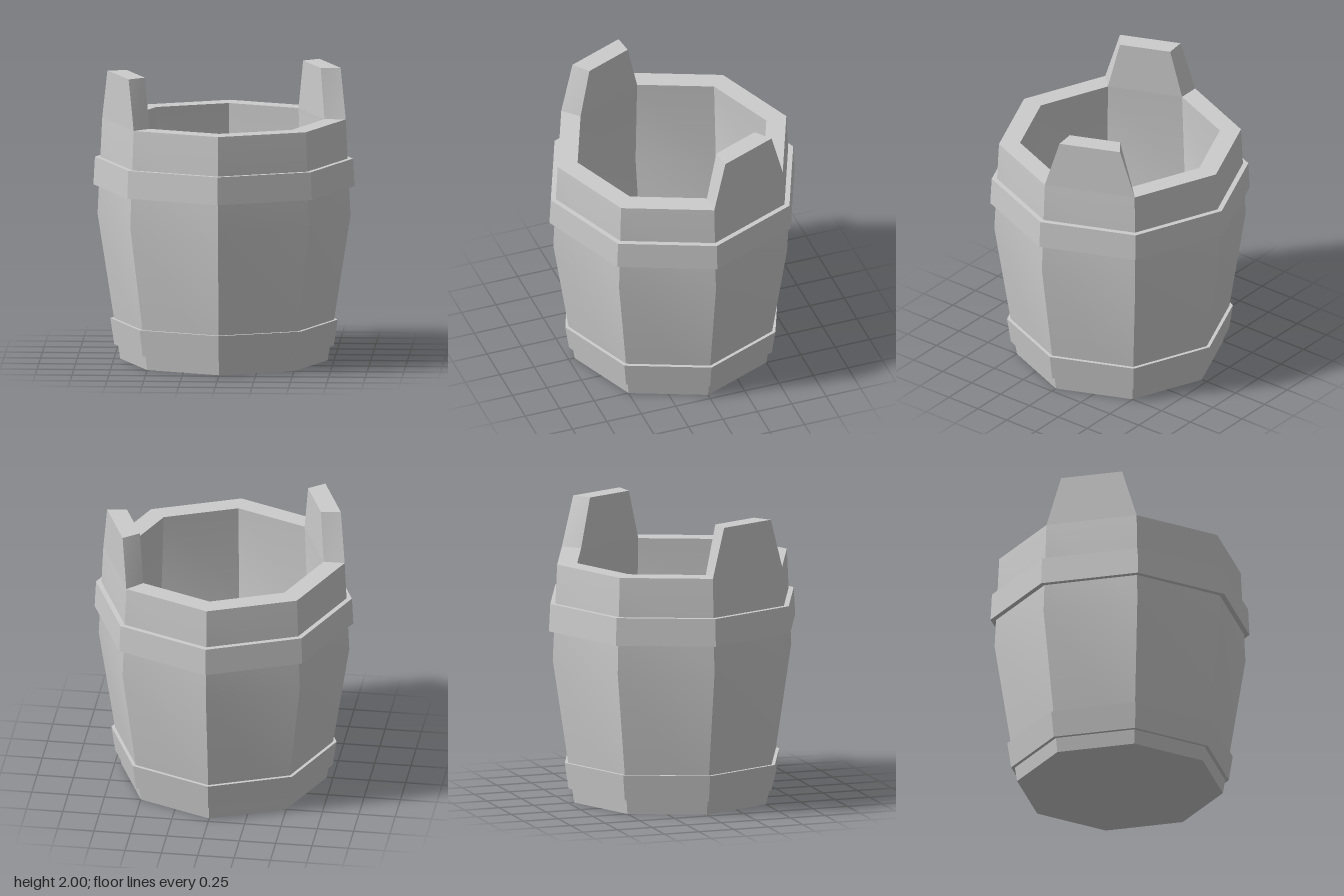
import * as THREE from 'three';
import { toCreasedNormals } from 'three/addons/utils/BufferGeometryUtils.js';

const SIDES = 8;
const TOP = 1.66;
const material = new THREE.MeshStandardMaterial({ color: 0xcccccc });

// Octagonal part turned from [radius, height] pairs
function turned(name, profile) {
  const points = profile.map(([r, y]) => new THREE.Vector2(r, y));
  const geometry = toCreasedNormals(new THREE.LatheGeometry(points, SIDES), Math.PI / 7);
  const mesh = new THREE.Mesh(geometry, material);
  mesh.name = name;
  return mesh;
}

// Hoop: tapered outer face with ledges running into the wall
function hoop(name, y0, r0, y1, r1) {
  return turned(name, [[r0 - 0.05, y0], [r0, y0], [r1, y1], [r1 - 0.05, y1], [r0 - 0.05, y0]]);
}

// Raised stave: a box bent onto one side of the octagon, narrowing upwards
function raisedStave() {
  const geometry = new THREE.BoxGeometry(1, 1, 1);
  const pos = geometry.attributes.position;
  for (let i = 0; i < pos.count; i++) {
    const upper = pos.getY(i) > 0;
    const outer = pos.getZ(i) > 0;
    const halfAngle = upper ? 15.6 : 22.5;
    const angle = THREE.MathUtils.degToRad(22.5 + Math.sign(pos.getX(i)) * halfAngle);
    const radius = outer ? (upper ? 0.796 : 0.83) : (upper ? 0.66 : 0.685);
    pos.setXYZ(i, radius * Math.cos(angle), upper ? 2 : TOP, -radius * Math.sin(angle));
  }
  geometry.computeVertexNormals();
  return geometry;
}

export function createModel() {
  const model = new THREE.Group();
  model.name = 'bucket';

  // Bulging wall, rim, hollow inside and floor
  model.add(turned('bucketBody', [
    [0, 0], [0.707, 0], [0.862, 1], [0.83, TOP],
    [0.685, TOP], [0.715, 1], [0.59, 0.17], [0, 0.17],
  ]));

  model.add(hoop('lowerHoop', 0.1, 0.748, 0.28, 0.775));
  model.add(hoop('upperHoop', 1.2, 0.89, 1.39, 0.88));

  // Two opposite staves standing above the rim
  const staveGeometry = raisedStave();
  ['leftStave', 'rightStave'].forEach((name, i) => {
    const stave = new THREE.Mesh(staveGeometry, material);
    stave.name = name;
    stave.rotation.y = i * Math.PI;
    model.add(stave);
  });

  return model;
}
